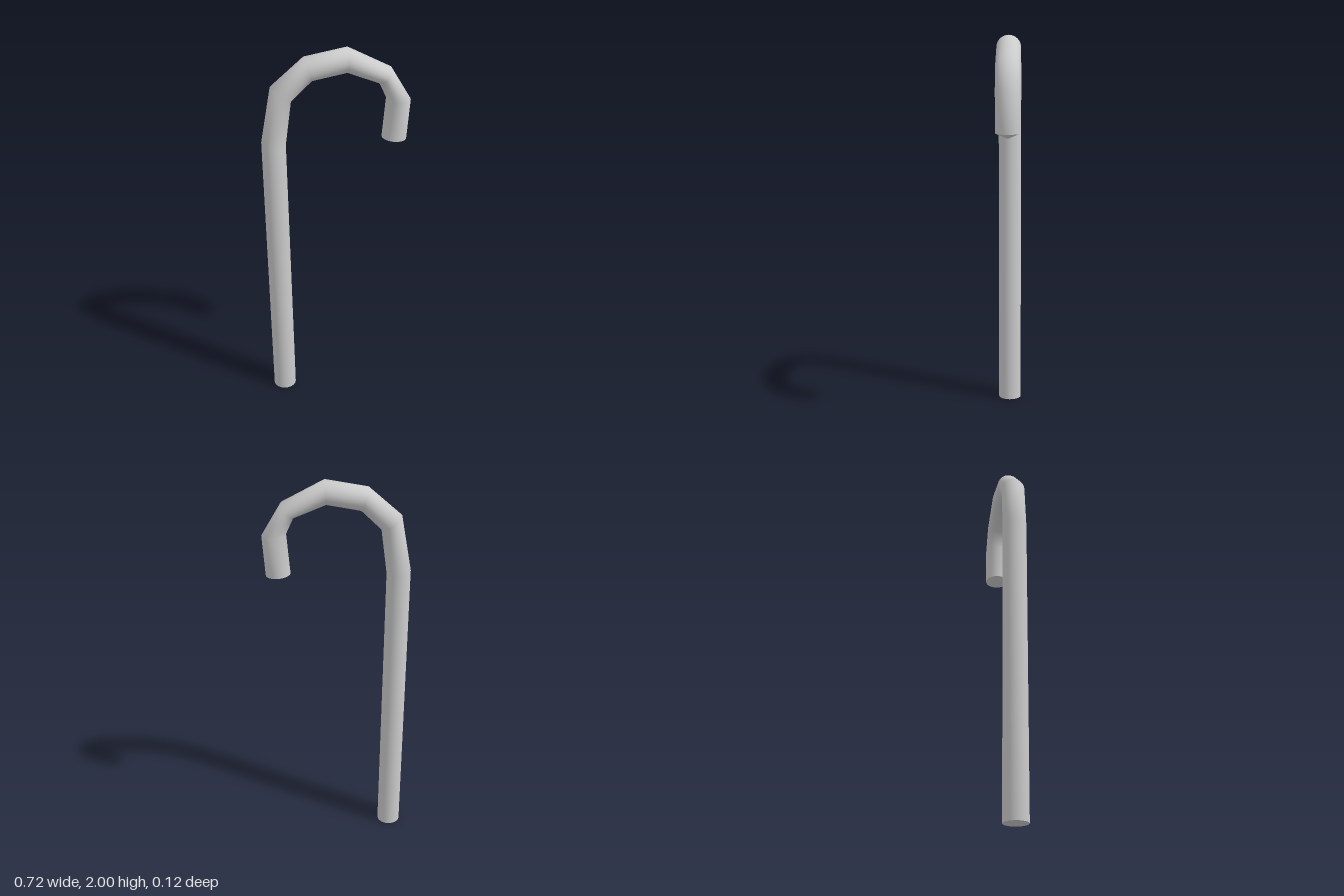
import * as THREE from 'three';

const SIDES = 32;
const RADIUS = 0.061;

// Each ring across the bar: outer x, outer y, inner x, inner y
const RINGS = [
  [-0.357, 0, -0.235, 0],
  [-0.362, 1.543, -0.244, 1.527],
  [-0.31, 1.822, -0.213, 1.754],
  [-0.15, 1.962, -0.114, 1.85],
  [0.056, 2.0, 0.05, 1.881],
  [0.262, 1.892, 0.204, 1.82],
  [0.359, 1.73, 0.241, 1.74],
  [0.346, 1.528, 0.225, 1.536],
];

function ringPoints([ox, oy, ix, iy]) {
  const points = [];
  for (let j = 0; j < SIDES; j++) {
    const a = (j / SIDES) * Math.PI * 2;
    const t = (1 + Math.cos(a)) / 2;
    points.push(ix + (ox - ix) * t, iy + (oy - iy) * t, RADIUS * Math.sin(a));
  }
  return points;
}

function makeMesh(name, positions, indices, material) {
  const geometry = new THREE.BufferGeometry();
  geometry.setAttribute('position', new THREE.Float32BufferAttribute(positions, 3));
  geometry.setIndex(indices);
  geometry.computeVertexNormals();
  const mesh = new THREE.Mesh(geometry, material);
  mesh.name = name;
  return mesh;
}

// Skin joining consecutive rings
function makeBar(material) {
  const indices = [];
  for (let i = 0; i < RINGS.length - 1; i++) {
    for (let j = 0; j < SIDES; j++) {
      const k = (j + 1) % SIDES;
      const a = i * SIDES + j, b = i * SIDES + k;
      indices.push(a, b, a + SIDES, b, b + SIDES, a + SIDES);
    }
  }
  return makeMesh('caneBar', RINGS.flatMap(ringPoints), indices, material);
}

// Fan from a centre point to a ring
function makeCap(name, ring, centre, flip, material) {
  const indices = [];
  for (let j = 0; j < SIDES; j++) {
    const k = (j + 1) % SIDES;
    indices.push(SIDES, flip ? k : j, flip ? j : k);
  }
  return makeMesh(name, [...ringPoints(ring), ...centre], indices, material);
}

export function createModel() {
  const group = new THREE.Group();
  group.name = 'cane';
  const material = new THREE.MeshStandardMaterial({ color: 0xcccccc });
  group.add(
    makeBar(material),
    makeCap('footCap', RINGS[0], [-0.296, 0, 0], true, material),
    // Shallow point closing the hooked end
    makeCap('hookCap', RINGS[RINGS.length - 1], [0.292, 1.506, 0], false, material),
  );
  return group;
}
